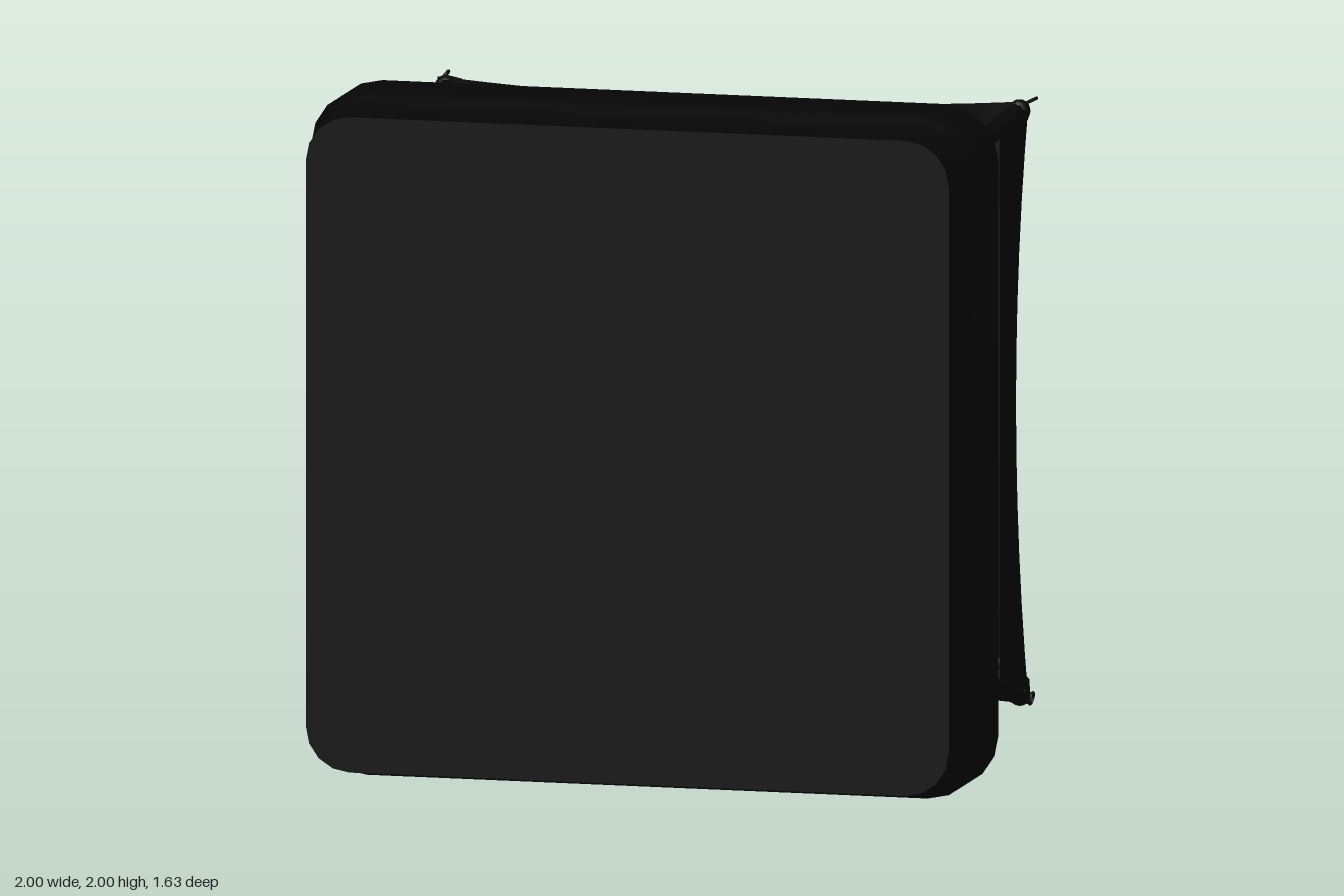
import * as THREE from 'three';
import { toCreasedNormals } from 'three/addons/utils/BufferGeometryUtils.js';

const V = (x, y, z) => new THREE.Vector3(x, y, z);

// Indexed grid of rows x columns of points, with crisp creases
function gridGeometry(rows, crease) {
  const n = rows[0].length, index = [];
  for (let i = 0; i < rows.length - 1; i++) {
    for (let j = 0; j < n - 1; j++) {
      const a = i * n + j, b = a + 1, c = a + n, d = c + 1;
      index.push(a, c, b, b, c, d);
    }
  }
  const geo = new THREE.BufferGeometry().setFromPoints(rows.flat());
  geo.setIndex(index);
  return toCreasedNormals(geo, crease);
}

// Closed rounded-square loop, anticlockwise seen from +z
function squareLoop(half, radius, z, steps = 4) {
  const pts = [];
  for (let k = 0; k < 4; k++) {
    const q = k * Math.PI / 2 + Math.PI / 4;
    const cx = Math.SQRT2 * (half - radius) * Math.cos(q);
    const cy = Math.SQRT2 * (half - radius) * Math.sin(q);
    for (let s = 0; s <= steps; s++) {
      const a = (k + s / steps) * Math.PI / 2;
      pts.push(V(cx + radius * Math.cos(a), cy + radius * Math.sin(a), z));
    }
  }
  pts.push(pts[0].clone());
  return pts;
}

// Turned part whose axis points backwards; profile is [radius, z]
function turned(profile, segments) {
  const geo = new THREE.LatheGeometry(profile.map(([r, z]) => new THREE.Vector2(r, -z)), segments);
  geo.rotateX(-Math.PI / 2);
  return toCreasedNormals(geo, 0.6);
}

// Straight round bar between two points
function bar(a, b, radius) {
  const geo = new THREE.CylinderGeometry(radius, radius, a.distanceTo(b), 10);
  geo.applyQuaternion(new THREE.Quaternion().setFromUnitVectors(V(0, 1, 0), b.clone().sub(a).normalize()));
  const m = a.clone().add(b).multiplyScalar(0.5);
  return geo.translate(m.x, m.y, m.z);
}

export function createModel() {
  const black = new THREE.MeshStandardMaterial({ color: 0x050505 });
  black.name = 'black';
  const blackCloth = new THREE.MeshStandardMaterial({ color: 0x040404, side: THREE.DoubleSide });
  blackCloth.name = 'blackCloth';
  const model = new THREE.Group();
  const centre = new THREE.Group();
  centre.name = 'assembly';
  centre.position.y = 1;
  model.add(centre);
  const add = (parent, name, geo, mat = black) => {
    const mesh = new THREE.Mesh(geo, mat);
    mesh.name = name;
    parent.add(mesh);
    return mesh;
  };

  // Housing: front slab, bulging sides, and a thin-walled hollow open at the back
  const housing = [
    [0, 0, 0.817], [0.957, 0.13, 0.817], [0.957, 0.13, 0.69],
    [0.985, 0.155, 0.635], [1, 0.165, 0.59], [1, 0.165, 0.41], [0.99, 0.155, 0.385],
    [0.957, 0.13, 0.335], [0.91, 0.09, 0.335], [0.91, 0.09, 0.795], [0, 0, 0.795],
  ];
  add(centre, 'housing', gridGeometry(housing.map(r => squareLoop(...r)), 0.6));

  // Four corners: socket, bent rod, tip, strut and hooks
  for (let k = 0; k < 4; k++) {
    const corner = new THREE.Group();
    corner.name = 'cornerSupport';
    corner.rotation.z = k * Math.PI / 2;
    centre.add(corner);

    const socket = turned([[0.063, 0.795], [0.063, 0.165], [0.05, 0.145], [0.05, 0.105], [0, 0.105]], 16);
    add(corner, 'rodSocket', socket).position.set(0.775, 0.775, 0);

    const path = new THREE.CurvePath();
    const p = [V(0.775, 0.775, 0.12), V(0.775, 0.775, -0.13), V(0.787, 0.787, -0.19), V(0.854, 0.854, -0.39)];
    path.add(new THREE.LineCurve3(p[0], p[1]));
    path.add(new THREE.QuadraticBezierCurve3(p[1], V(0.775, 0.775, -0.16), p[2]));
    path.add(new THREE.LineCurve3(p[2], p[3]));
    add(corner, 'bentRod', new THREE.TubeGeometry(path, 24, 0.028, 10));

    add(corner, 'rodTip', new THREE.SphereGeometry(0.032, 12, 8)).position.copy(p[3]);
    add(corner, 'tipClamp', bar(p[3], V(0.832, 0.832, -0.468), 0.032));
    add(corner, 'strut', bar(V(0.83, 0.83, -0.455), V(0.15, 0.15, -0.712), 0.017));
    add(corner, 'strutLug', bar(V(0.16, 0.16, -0.715), V(0.07, 0.07, -0.725), 0.015));

    // Wire hooks at both ends of the strut, standing in its plane
    for (const [x, z] of [[0.873, -0.453], [0.163, -0.715]]) {
      const hook = add(corner, 'hook', new THREE.TorusGeometry(0.017, 0.005, 6, 12));
      hook.position.set(x, x, z);
      hook.lookAt(x + 1, x - 1, z);
    }
  }

  // Four cloth panels; rows give [edge distance, half width, edge z, middle distance, middle z]
  const panelRows = [
    [0.145, 0.135, -0.692, 0.145, -0.667], [0.25, 0.22, -0.632, 0.225, -0.63],
    [0.38, 0.335, -0.57, 0.345, -0.57], [0.5, 0.45, -0.50, 0.465, -0.50],
    [0.65, 0.605, -0.455, 0.63, -0.455], [0.83, 0.825, -0.45, 0.805, -0.435],
    [0.88, 0.88, -0.395, 0.845, -0.385], [0.82, 0.82, -0.29, 0.83, -0.26],
  ];
  const panelGeo = gridGeometry(panelRows.map(([r, w, z, rm, zm]) => {
    const row = [];
    for (let j = 0; j <= 12; j++) {
      const u = 1 - j / 6, bow = 1 - u * u;
      row.push(V(u * w, r + (rm - r) * bow, z + (zm - z) * bow));
    }
    return row;
  }), 0.7);
  for (let k = 0; k < 4; k++) {
    add(centre, 'clothPanel', panelGeo, blackCloth).rotation.z = k * Math.PI / 2;
  }

  // Rear hub: two flanges joined by pillars
  const hub = new THREE.Group();
  hub.name = 'hub';
  centre.add(hub);
  add(hub, 'innerFlange', turned([[0.085, -0.705], [0.14, -0.705], [0.14, -0.718], [0.12, -0.735],
    [0.085, -0.735], [0.085, -0.705]], 32));
  add(hub, 'outerFlange', turned([[0.085, -0.773], [0.12, -0.773], [0.135, -0.79], [0.16, -0.798], [0.16, -0.814],
    [0.11, -0.814], [0.085, -0.795], [0.085, -0.773]], 32));
  for (let i = 0; i < 8; i++) {
    const a = (i + 0.5) * Math.PI / 4;
    const pillar = add(hub, 'hubPillar', new THREE.BoxGeometry(0.03, 0.04, 0.05));
    pillar.position.set(0.105 * Math.cos(a), 0.105 * Math.sin(a), -0.754);
    pillar.rotation.z = a;
  }
  return model;
}
